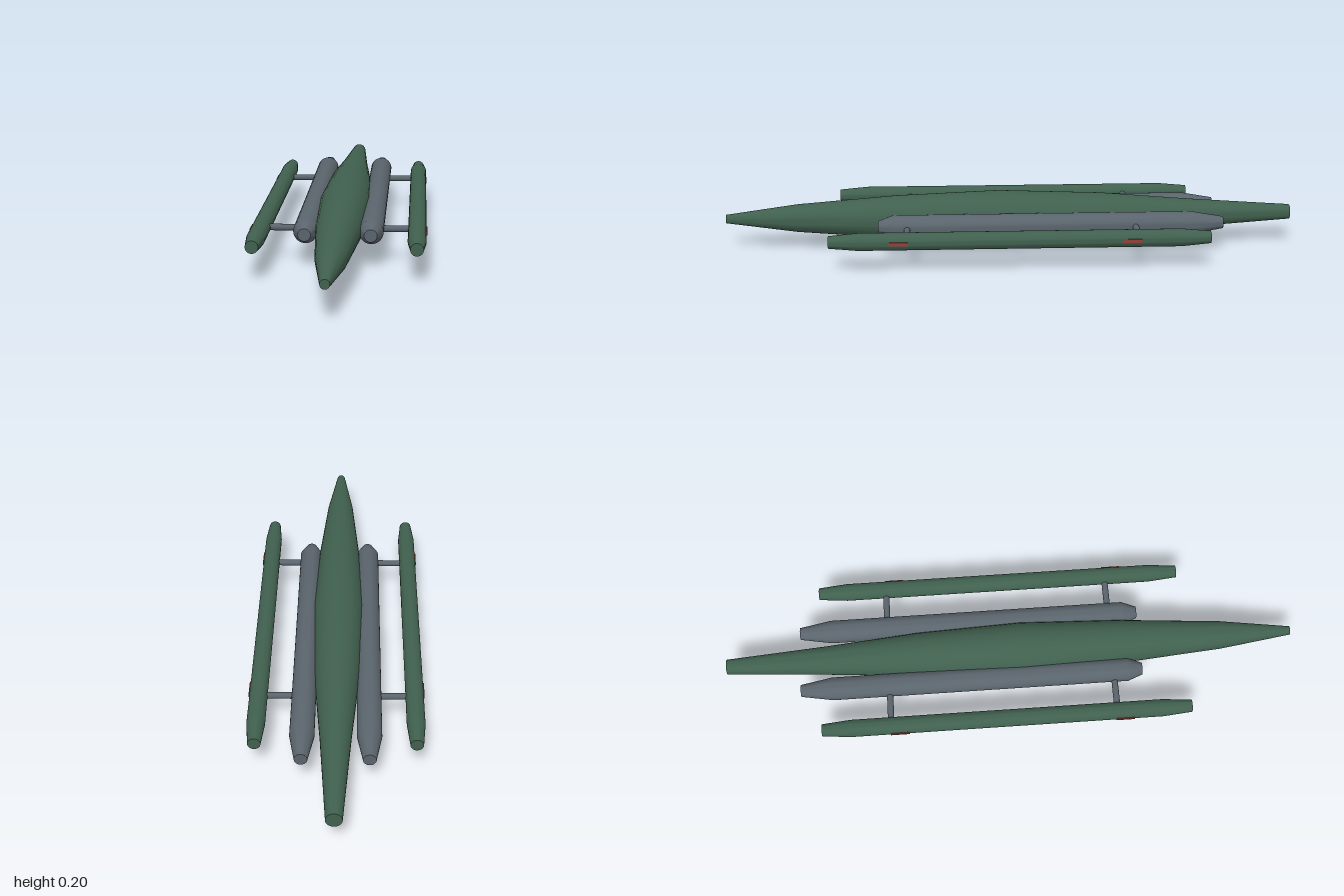
import * as THREE from 'three';
import { toCreasedNormals } from 'three/addons/utils/BufferGeometryUtils.js';

const AXIS_Y = 0.112;

export function createModel() {
  const model = new THREE.Group();
  const material = (name, color) => {
    const m = new THREE.MeshStandardMaterial({ color });
    m.name = name;
    return m;
  };
  const green = material('hull green', 0x40604e);
  const grey = material('pod grey', 0x5a646c);
  const red = material('marker red', 0x943f38);

  const add = (name, geometry, mat, x, y, z) => {
    const mesh = new THREE.Mesh(geometry, mat);
    mesh.name = name;
    mesh.position.set(x, y, z);
    model.add(mesh);
    return mesh;
  };

  // Closed body of revolution along z, from [z, radius] pairs, back to front
  const spindle = (profile) => {
    const points = profile.map(([z, r]) => new THREE.Vector2(r, z));
    points.unshift(new THREE.Vector2(0, profile[0][0]));
    points.push(new THREE.Vector2(0, profile[profile.length - 1][0]));
    const geometry = new THREE.LatheGeometry(points, 32);
    geometry.rotateX(Math.PI / 2);
    return toCreasedNormals(geometry, 0.4);
  };

  // Main hull
  add('hull', spindle([
    [-1, 0.026], [-0.65, 0.05], [-0.32, 0.077], [0.04, 0.09],
    [0.4, 0.076], [0.75, 0.049], [1, 0.015],
  ]), green, 0, AXIS_Y, 0);

  const podShape = spindle([[-0.74, 0.021], [-0.63, 0.04], [0.41, 0.04], [0.46, 0.021]]);
  const outriggerShape = spindle([[-0.67, 0.021], [-0.57, 0.03], [0.52, 0.03], [0.62, 0.021]]);
  const strutShape = new THREE.CylinderGeometry(0.011, 0.011, 0.17, 16).rotateZ(Math.PI / 2);
  const markerShape = new THREE.BoxGeometry(0.006, 0.013, 0.065);

  // Side pods, outriggers, struts and red markers, mirrored
  for (const side of [-1, 1]) {
    add('sidePod', podShape, grey, side * 0.107, AXIS_Y, 0);
    add('outrigger', outriggerShape, green, side * 0.256, AXIS_Y, 0);
    for (const z of [0.36, -0.43]) add('strut', strutShape, grey, side * 0.165, AXIS_Y, z);
    for (const z of [0.385, -0.4]) add('marker', markerShape, red, side * 0.2855, AXIS_Y, z);
  }

  // Keel plate and its small studs
  add('keelPlate', new THREE.BoxGeometry(0.034, 0.02, 0.36), green, 0, 0.026, -0.1);
  const studShape = new THREE.BoxGeometry(0.005, 0.02, 0.008);
  for (const z of [0.03, -0.03, -0.16, -0.22])
    for (const side of [-1, 1]) add('keelStud', studShape, green, side * 0.0155, 0.01, z);

  return model;
}
